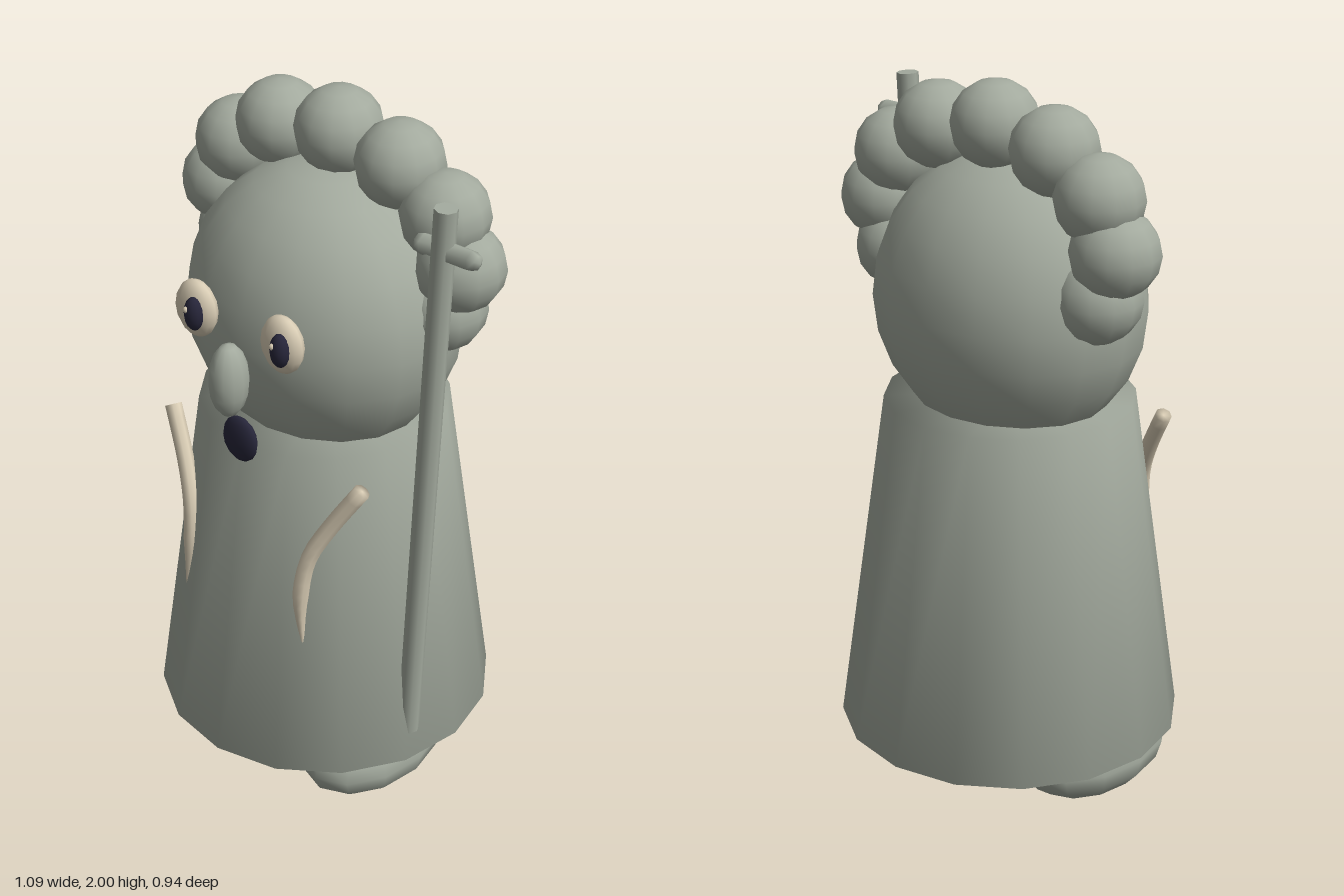
import * as THREE from 'three';
import { mergeVertices } from 'three/addons/utils/BufferGeometryUtils.js';

const CX = -0.04; // middle of the body

function material(name, color) {
  const m = new THREE.MeshStandardMaterial({ color });
  m.name = name;
  return m;
}

// Weld all vertices so that shading runs smoothly over every edge
function smooth(geometry) {
  geometry.deleteAttribute('normal');
  geometry.deleteAttribute('uv');
  const welded = mergeVertices(geometry, 1e-4);
  welded.computeVertexNormals();
  return welded;
}

// Tube with a flat start that tapers to a point at its end
function taperedTube(points, radius) {
  const rings = 16, sides = 8;
  const curve = new THREE.CatmullRomCurve3(points);
  const geo = new THREE.TubeGeometry(curve, rings, radius, sides);
  const pos = geo.attributes.position, v = new THREE.Vector3();
  for (let i = 0; i <= rings; i++) {
    const centre = curve.getPointAt(Math.max(i, 1) / rings);
    const k = i === 0 ? 0 : Math.min(1, (1 - i / rings) / 0.3);
    const own = curve.getPointAt(i / rings);
    for (let j = 0; j <= sides; j++) {
      const n = i * (sides + 1) + j;
      v.fromBufferAttribute(pos, n).sub(own).multiplyScalar(k).add(centre);
      pos.setXYZ(n, v.x, v.y, v.z);
    }
  }
  return smooth(geo);
}

export function createModel() {
  const model = new THREE.Group();
  const grey = material('stone grey', 0xa3aa9e);
  const cream = material('cream', 0xd8ccb4);
  const dark = material('dark ink', 0x27263a);

  function add(name, geometry, mat, x = 0, y = 0, z = 0) {
    const mesh = new THREE.Mesh(geometry, mat);
    mesh.name = name;
    mesh.position.set(x, y, z);
    model.add(mesh);
    return mesh;
  }
  function ellipsoid(name, mat, [x, y, z], [rx, ry, rz], w = 12, h = 8) {
    return add(name, new THREE.SphereGeometry(1, w, h).scale(rx, ry, rz), mat, x, y, z);
  }

  // Robe and head
  add('robe', smooth(new THREE.CylinderGeometry(0.336, 0.468, 0.94, 16)), grey, CX, 0.67, 0);
  ellipsoid('head', grey, [CX, 1.415, 0], [0.385, 0.395, 0.333], 16, 12);

  // Arc of round curls over the head
  for (let i = -4; i <= 4; i++) {
    const a = i * Math.PI / 6;
    ellipsoid('curl', grey, [CX + 0.39 * Math.sin(a), 1.625 + 0.26 * Math.cos(a), -0.06],
      [0.117, 0.115, 0.12], 12, 8);
  }

  // Face
  ellipsoid('nose', grey, [CX, 1.352, 0.377], [0.05, 0.105, 0.057]);
  ellipsoid('mouth', dark, [CX, 1.157, 0.34], [0.057, 0.066, 0.022]);

  for (const s of [-1, 1]) {
    const side = s > 0 ? 'left' : 'right';
    // Eyes
    ellipsoid(side + 'Eye', cream, [CX + s * 0.142, 1.49, 0.333], [0.065, 0.08, 0.038]);
    ellipsoid(side + 'Pupil', dark, [CX + s * 0.142 + 0.017, 1.492, 0.362], [0.028, 0.047, 0.026]);
    ellipsoid(side + 'EyeGlint', cream, [CX + s * 0.142 + 0.008, 1.508, 0.382], [0.008, 0.009, 0.008], 8, 6);

    // Cords hanging down the front of the robe
    const path = [[0.345, 1.115, 0.235], [0.25, 0.955, 0.285], [0.207, 0.86, 0.315],
      [0.193, 0.74, 0.334], [0.21, 0.56, 0.345]];
    add(side + 'Cord', taperedTube(path.map(([x, y, z]) =>
      new THREE.Vector3(CX + s * x, y, z)), 0.023), cream);

    // Feet
    ellipsoid(side + 'Foot', grey, [CX + s * 0.235, 0.127, 0.078], [0.172, 0.127, 0.252]);
  }

  // Staff leaning on the robe, with a short crossbar
  const top = new THREE.Vector3(0.445, 1.9, 0.137), foot = new THREE.Vector3(0.367, 0.28, 0.137);
  const staff = add('staff', new THREE.CylinderGeometry(0.03, 0.03, top.distanceTo(foot), 8), grey);
  staff.position.copy(top).add(foot).multiplyScalar(0.5);
  staff.quaternion.setFromUnitVectors(new THREE.Vector3(0, 1, 0), top.clone().sub(foot).normalize());
  const bar = smooth(new THREE.CapsuleGeometry(0.027, 0.14, 2, 6));
  add('crossbar', bar.rotateZ(Math.PI / 2), grey, 0.45, 1.785, 0.133);

  return model;
}
